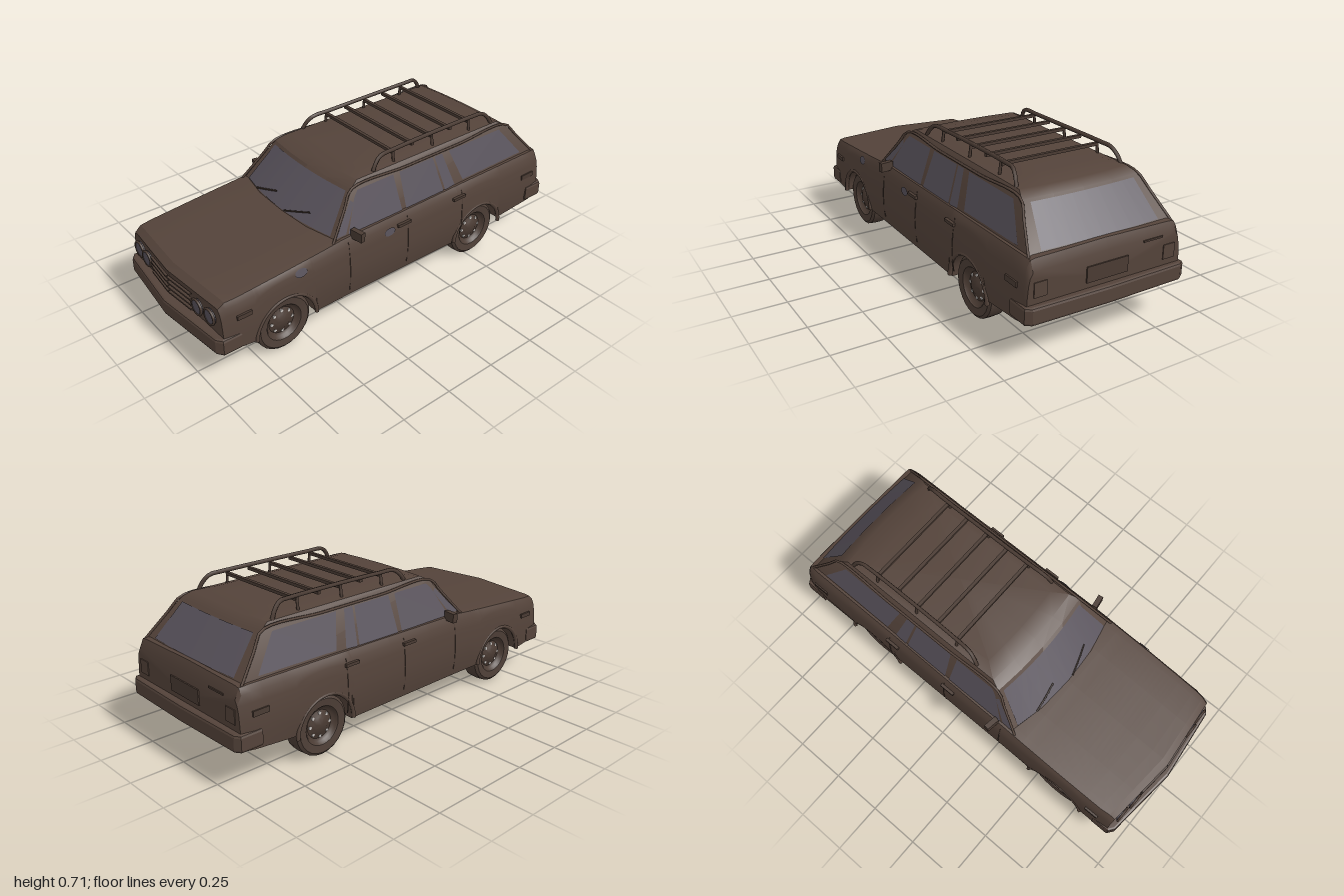
import * as THREE from 'three';
import { toCreasedNormals } from 'three/addons/utils/BufferGeometryUtils.js';

const mat = (name, color, side = THREE.FrontSide) => {
  const m = new THREE.MeshStandardMaterial({ color, side });
  m.name = name;
  return m;
};

// Linear interpolation through [x, value] pairs
function interp(table, x) {
  if (x <= table[0][0]) return table[0][1];
  for (let i = 1; i < table.length; i++) {
    const [x0, v0] = table[i - 1], [x1, v1] = table[i];
    if (x <= x1) return v0 + (v1 - v0) * (x - x0) / (x1 - x0);
  }
  return table[table.length - 1][1];
}

// Skin closed rings of points and close both ends with fans
function loft(rings, crease = 0.5) {
  const n = rings[0].length, pos = rings.flat(2), idx = [];
  rings.slice(1).forEach((_, i) => {
    for (let j = 0; j < n; j++) {
      const k = (j + 1) % n, a = i * n + j, b = i * n + k, c = a + n, d = b + n;
      idx.push(a, c, b, b, c, d);
    }
  });
  [[0, 0], [rings.length - 1, 1]].forEach(([r, end]) => {
    const centre = pos.length / 3;
    for (let c = 0; c < 3; c++) pos.push(rings[r].reduce((s, p) => s + p[c], 0) / n);
    for (let j = 0; j < n; j++) {
      const a = r * n + j, b = r * n + (j + 1) % n;
      if (end) idx.push(centre, b, a); else idx.push(centre, a, b);
    }
  });
  const g = new THREE.BufferGeometry();
  g.setAttribute('position', new THREE.Float32BufferAttribute(pos, 3));
  g.setIndex(idx);
  return toCreasedNormals(g, crease);
}

const AXLES = [-0.62, 0.53], ARCH = 0.152;
const floorY = [[-0.93, 0.17], [-0.78, 0.14], [0.38, 0.13], [0.68, 0.155], [0.965, 0.185]];
const topY = [[-0.93, 0.365], [-0.9, 0.388], [-0.4, 0.428], [-0.3, 0.438], [0.9, 0.45], [0.945, 0.445], [0.965, 0.4]];
const sideZ = [[0.13, 0.375], [0.2, 0.391], [0.3, 0.392], [0.4, 0.382], [0.425, 0.374], [0.445, 0.36]];
const bodyZ = (x, y) => interp(sideZ, y + 0.44 - Math.min(0.44, interp(topY, x))) *
  interp([[-0.93, 0.965], [-0.85, 0.99], [-0.6, 1], [0.9, 1], [0.965, 0.975]], x);

function bodyGeometry() {
  const xs = [-0.93, -0.915, -0.9, -0.85, -0.4, -0.3, -0.1, 0.15, 0.75, 0.85, 0.9, 0.945, 0.965];
  for (const a of AXLES) for (let i = 0; i <= 16; i++) xs.push(a - ARCH * Math.cos(i * Math.PI / 16));
  xs.sort((a, b) => a - b);
  return loft(xs.map((x) => {
    const f = interp(floorY, x), t = interp(topY, x);
    let low = f;
    for (const a of AXLES) {
      const h = ARCH ** 2 - (x - a) ** 2;
      if (h > 0) low = Math.max(low, 0.14 + Math.sqrt(h));
    }
    const half = [[f, 0], [f, 0.262], [low + 0.001, 0.262]];
    for (const k of [0, 0.25, 0.5, 0.75, 0.9, 1]) {
      const y = low + (t - low) * k;
      half.push([y, bodyZ(x, y)]);
    }
    half.push([t + 0.004, 0.33], [t + 0.006, 0.2], [t + 0.01, 0]);
    const all = half.concat(half.slice(1, -1).reverse().map(([y, z]) => [y, -z]));
    // the nose is pointed in plan
    const nose = 0.035 * interp([[-0.93, 1], [-0.7, 0]], x);
    return all.map(([y, z]) => [x - nose * (1 - Math.abs(z) / 0.37), y, z]);
  }));
}

// Cabin levels: y, front centre x, rear x, half width, front bow
const LEVELS = [[0.425, -0.39, 0.955, 0.357, 0.05], [0.615, -0.215, 0.79, 0.287, 0.02],
  [0.638, -0.165, 0.745, 0.268, 0.015], [0.651, -0.09, 0.64, 0.215, 0.01]];
const cabinAt = (y) => LEVELS[0].map((v, i) => v + (LEVELS[1][i] - v) * (y - 0.425) / 0.19);
const frontX = (l, s) => l[1] + l[4] * s * s;
const rearX = (l, s) => l[2] - 0.012 * s * s;

function cabinGeometry() {
  const s = [-1, -0.5, 0, 0.5, 1];
  return loft(LEVELS.map((l) => [
    ...s.map((k) => [frontX(l, k), l[0], -k * l[3]]),
    ...s.map((k) => [rearX(l, k), l[0], k * l[3]])]), 0.4);
}

// Curved end glass spanning y0..y1, with half widths given as shares of the cabin
function endGlass(y0, y1, w0, w1, xAt, offset) {
  const g = new THREE.PlaneGeometry(2, 1, 8, 1), p = g.attributes.position;
  for (let i = 0; i < p.count; i++) {
    const v = p.getY(i) + 0.5, l = cabinAt(y0 + (y1 - y0) * v), s = p.getX(i) * (w0 + (w1 - w0) * v);
    p.setXYZ(i, xAt(l, s) + offset, l[0], s * l[3]);
  }
  g.computeVertexNormals();
  return g;
}

// Flat outline in x, y laid onto a side surface
function sidePlate(points, zAt, sign) {
  const g = new THREE.ShapeGeometry(new THREE.Shape(points.map(([x, y]) => new THREE.Vector2(x, y))));
  const p = g.attributes.position;
  for (let i = 0; i < p.count; i++) p.setZ(i, sign * zAt(p.getX(i), p.getY(i)));
  g.computeVertexNormals();
  return g;
}

// Bumper from half of its plan outline (x, z)
function bumperGeometry(half, y, h) {
  const pts = half.concat(half.slice().reverse().map(([x, z]) => [x, -z]));
  const b = 0.012;
  const g = new THREE.ExtrudeGeometry(new THREE.Shape(pts.map(([x, z]) => new THREE.Vector2(x, z))),
    { depth: h - 2 * b, bevelSize: b, bevelThickness: b, bevelOffset: -b, bevelSegments: 2 });
  return g.rotateX(Math.PI / 2).translate(0, y + h - b, 0);
}

const tube = (pts, r, seg = 24) => new THREE.TubeGeometry(
  new THREE.CatmullRomCurve3(pts.map((p) => new THREE.Vector3(...p)), false, 'centripetal'), seg, r, 6);

export function createModel() {
  const paint = mat('brown paint', 0x54433a), trim = mat('dark brown trim', 0x4a3b33);
  const rubber = mat('brown rubber', 0x4e3f37), glass = mat('grey glass', 0x58525b, THREE.DoubleSide);
  const pale = mat('pale metal', 0xc9c4c0);
  const car = new THREE.Group();
  car.name = 'stationWagon';
  const add = (name, geo, m, pos = [0, 0, 0], parent = car) => {
    const mesh = new THREE.Mesh(geo, m);
    mesh.name = name;
    mesh.position.set(...pos);
    parent.add(mesh);
    return mesh;
  };
  const box = (name, size, pos, m = trim) => add(name, new THREE.BoxGeometry(...size), m, pos);

  add('lowerBody', bodyGeometry(), paint);
  add('cabin', cabinGeometry(), paint);
  add('windshield', endGlass(0.445, 0.605, 0.91, 0.92, frontX, -0.004), glass);
  add('rearWindow', endGlass(0.458, 0.605, 0.84, 0.88, rearX, 0.004), glass);

  // Bumpers
  add('frontBumper', bumperGeometry([[-0.85, 0.3], [-0.85, 0.39], [-0.94, 0.39], [-0.962, 0.36], [-1, 0]], 0.15, 0.08), paint);
  add('rearBumper', bumperGeometry([[0.87, 0.3], [0.87, 0.397], [0.975, 0.397], [0.993, 0.37], [1, 0]], 0.187, 0.078), paint);

  // Grille and tailgate details
  const noseX = (z) => -0.93 - 0.035 * (1 - Math.abs(z) / 0.37);
  for (const s of [-1, 1]) {
    for (let i = 0; i < 4; i++) {
      const bar = box('grilleBar', [0.012, 0.008, 0.165], [noseX(0.085) - 0.002, 0.262 + i * 0.026, s * 0.085]);
      bar.rotation.y = s * 0.094;
    }
    for (const z of [0.215, 0.3]) {
      const lamp = new THREE.CylinderGeometry(0.034, 0.036, 0.014, 20).rotateZ(Math.PI / 2);
      add('headlightLens', lamp, glass, [noseX(z) - 0.004, 0.305, s * z]);
      const ring = new THREE.TorusGeometry(0.036, 0.006, 6, 20).rotateY(Math.PI / 2);
      add('headlightRing', ring, trim, [noseX(z) - 0.008, 0.305, s * z]);
    }
    box('tailLight', [0.008, 0.065, 0.06], [0.965, 0.325, s * 0.32], paint);
  }
  box('numberPlate', [0.008, 0.07, 0.205], [0.967, 0.325, 0]);
  box('tailgateHandle', [0.01, 0.008, 0.1], [0.965, 0.4, -0.23]);

  // Parts on both sides
  const windows = {
    ventWindow: [[-0.33, 0.447], [-0.275, 0.447], [-0.2, 0.56], [-0.215, 0.575]],
    frontDoorWindow: [[-0.262, 0.442], [0.05, 0.442], [0.042, 0.605], [-0.165, 0.605], [-0.19, 0.58]],
    rearDoorWindow: [[0.075, 0.442], [0.31, 0.444], [0.285, 0.605], [0.08, 0.605]],
    rearQuarterPane: [[0.322, 0.444], [0.385, 0.45], [0.345, 0.605], [0.297, 0.605]],
    cargoWindow: [[0.44, 0.456], [0.845, 0.462], [0.73, 0.605], [0.39, 0.605]],
  };
  for (const s of [-1, 1]) {
    for (const [name, pts] of Object.entries(windows))
      add(name, sidePlate(pts, (x, y) => cabinAt(y)[3] + 0.003, s), glass);
    add('roofGutter', tube([[-0.35, 0.43, s * 0.357], [-0.2, 0.615, s * 0.289], [0.78, 0.617, s * 0.289],
      [0.93, 0.445, s * 0.352]].flatMap((p, i, a) => i < 3
      ? [0, 0.33, 0.67].map((t) => p.map((v, c) => v + (a[i + 1][c] - v) * t)) : [p]), 0.006, 40), paint);
    const mirror = box('doorMirror', [0.025, 0.044, 0.064], [-0.24, 0.448, s * 0.389]);
    mirror.rotation.y = s * 0.15;
    for (const x of [0.035, 0.385]) box('doorHandle', [0.075, 0.014, 0.014], [x, 0.393, s * 0.387]);
    box('frontMarker', [0.07, 0.02, 0.01], [-0.83, 0.31, s * 0.387]);
    box('rearMarker', [0.08, 0.025, 0.01], [0.87, 0.335, s * 0.389]);
    for (const x of [-0.28, 0.062, 0.41])
      add('doorSeam', tube([0.17, 0.25, 0.33, 0.42].map((y) => [x, y, s * bodyZ(x, y)]), 0.0025, 6), trim);

    AXLES.forEach((x, i) => {
      add('archFlare', new THREE.TorusGeometry(ARCH + 0.004, 0.01, 6, 24, Math.PI), paint, [x, 0.138, s * 0.384]);
      const wheel = new THREE.Group();
      wheel.name = i ? 'rearWheel' : 'frontWheel';
      wheel.position.set(x, 0.14, s * 0.315);
      wheel.rotation.y = s > 0 ? 0 : Math.PI;
      car.add(wheel);
      // Tyre, dished rim and vent slots
      const tyre = [[0.082, -0.04], [0.125, -0.046], [0.138, -0.036], [0.14, 0], [0.138, 0.036], [0.125, 0.046],
        [0.09, 0.042], [0.082, 0.03], [0.082, -0.04]];
      const rim = [[0.086, 0.038], [0.078, 0.026], [0.066, 0.02], [0.04, 0.03], [0.03, 0.036], [0, 0.038]];
      const spin = (p) => toCreasedNormals(
        new THREE.LatheGeometry(p.map(([r, z]) => new THREE.Vector2(r, z)), 24).rotateX(Math.PI / 2), 0.6);
      add('tyre', spin(tyre), rubber, [0, 0, 0], wheel);
      add('rim', spin(rim.reverse()), trim, [0, 0, 0], wheel).material = trimDouble;
      add('rimBack', new THREE.CylinderGeometry(0.083, 0.083, 0.04, 20).rotateX(Math.PI / 2), trim, [0, 0, -0.02], wheel);
      for (let k = 0; k < 8; k++) {
        const a = k * Math.PI / 4;
        add('ventSlot', new THREE.CylinderGeometry(0.0075, 0.0075, 0.006, 8).rotateX(Math.PI / 2), pale,
          [0.054 * Math.cos(a), 0.054 * Math.sin(a), 0.0245], wheel);
      }
    });

    // Roof rack side rail and posts
    add('rackRail', tube([[-0.05, 0.64, s * 0.262], [-0.035, 0.665, s * 0.257], [0, 0.693, s * 0.248], [0.1, 0.698, s * 0.243],
      [0.6, 0.702, s * 0.243], [0.65, 0.699, s * 0.246], [0.685, 0.67, s * 0.255], [0.705, 0.632, s * 0.262]], 0.0095, 40), trim);
    for (const x of [0.08, 0.32, 0.56])
      add('rackPost', tube([[x, 0.638, s * 0.25], [x, 0.695, s * 0.243]], 0.007, 1), trim);
    // Wiper
    const wy = [0.45, 0.47, 0.49];
    add('wiper', tube(wy.map((y, i) => {
      const l = cabinAt(y), z = 0.12 * s - 0.09 + i * 0.07;
      return [frontX(l, z / l[3]) - 0.01, y, z];
    }), 0.004, 6), trim);
  }
  for (let i = 0; i < 5; i++) box('rackCrossbar', [0.016, 0.014, 0.49], [0.08 + i * 0.12, 0.686, 0]);

  // Faded patches on the right side
  for (const x of [-0.54, -0.05]) {
    const pts = Array.from({ length: 10 }, (_, k) =>
      [x + 0.032 * Math.cos(k * Math.PI / 5), 0.383 + 0.02 * Math.sin(k * Math.PI / 5)]);
    add('fadedPatch', sidePlate(pts, (px, py) => bodyZ(px, py) + 0.004, 1), glass);
  }
  return car;
}

const trimDouble = mat('dark brown rim', 0x4a3b33, THREE.DoubleSide);
